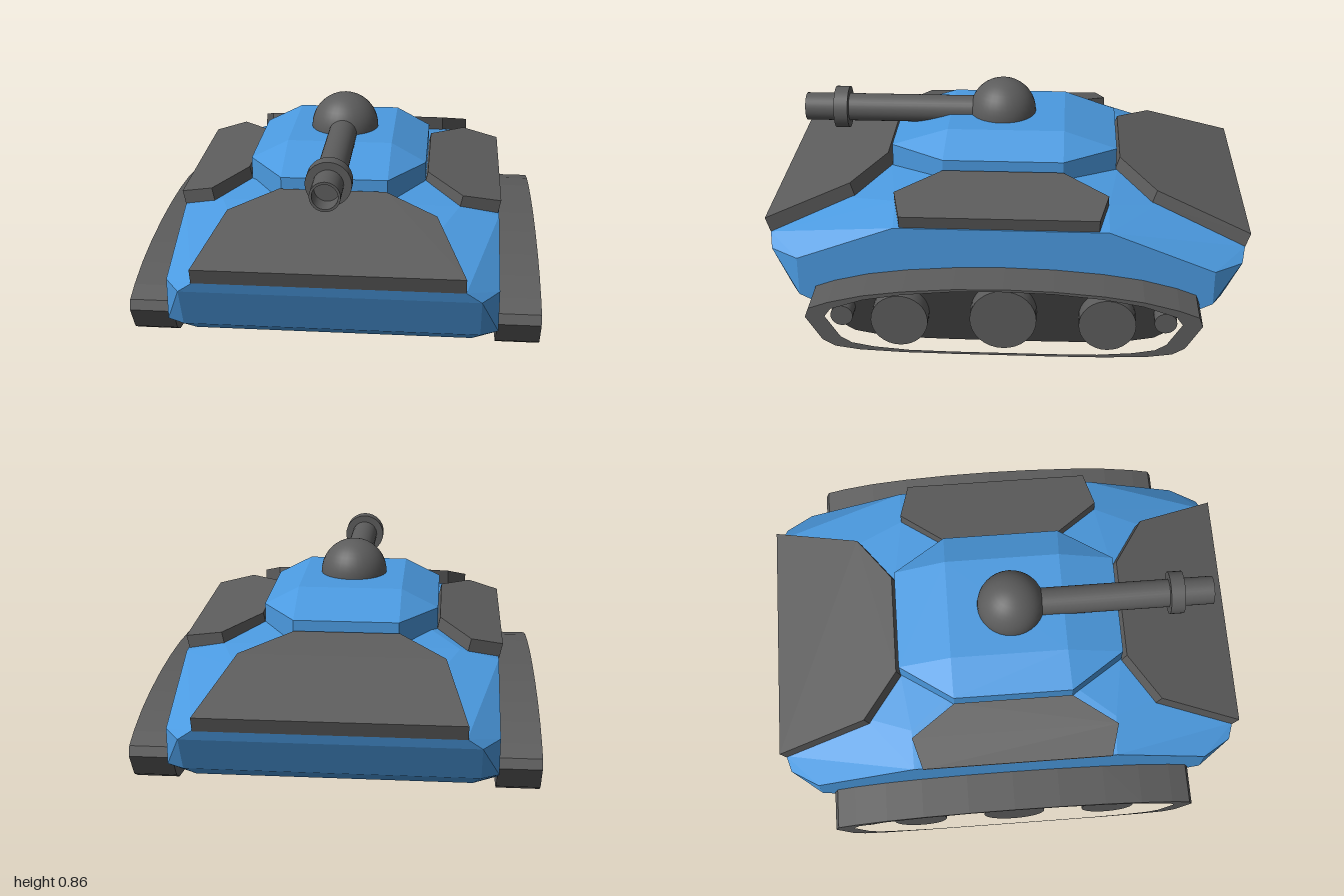
import * as THREE from 'three';
import { ConvexGeometry } from 'three/addons/geometries/ConvexGeometry.js';

const blue = new THREE.MeshStandardMaterial({ color: 0x4b9ae0 });
const grey = new THREE.MeshStandardMaterial({ color: 0x5c5c5c });
const dark = new THREE.MeshStandardMaterial({ color: 0x3a3a3a });

const v = (x, y, z) => new THREE.Vector3(x, y, z);

function add(parent, name, geometry, material) {
  const mesh = new THREE.Mesh(geometry, material);
  mesh.name = name;
  parent.add(mesh);
  return mesh;
}

// Faceted solid through a set of corner points
const solid = (points) => new ConvexGeometry(points.map((p) => v(...p)));

// Flat armour plate: a top outline pushed down by an offset
const plate = (top, offset) =>
  solid([...top, ...top.map((p) => p.map((c, i) => c + offset[i]))]);

// Each point repeated on the left and right
const mirrorX = (points) => points.flatMap(([x, y, z]) => [[x, y, z], [-x, y, z]]);

// Side profile (z, y) extruded across x, centred on x = 0
function extrudeAcross(shape, width) {
  const g = new THREE.ExtrudeGeometry(shape, { depth: width, bevelEnabled: false, curveSegments: 8 });
  g.translate(0, 0, -width / 2);
  g.rotateY(-Math.PI / 2);
  return g;
}

// Closed track outline, mirrored front to back; points run from the rear end along the top, then the bottom
function trackLoop(top, bottom) {
  const both = (half) => [...half, ...half.filter(([z]) => z !== 0).reverse().map(([z, y]) => [-z, y])];
  const upper = both(top);
  const lower = both(bottom).reverse();
  return [...upper, ...lower].map(([z, y]) => new THREE.Vector2(z, y));
}

function createTrack(side) {
  const group = new THREE.Group();
  group.name = side > 0 ? 'leftTrack' : 'rightTrack';

  const outer = trackLoop(
    [[-0.795, 0.16], [-0.78, 0.2], [-0.7, 0.23], [-0.56, 0.265], [-0.4, 0.288], [-0.2, 0.304], [0, 0.309]],
    [[-0.73, 0.055], [-0.68, 0.025], [-0.58, 0.01], [-0.4, 0.002], [-0.2, 0]]);
  const inner = trackLoop(
    [[-0.715, 0.165], [-0.69, 0.2], [-0.56, 0.245], [-0.4, 0.274], [-0.2, 0.293], [0, 0.298]],
    [[-0.655, 0.07], [-0.61, 0.043], [-0.52, 0.026], [-0.38, 0.014], [-0.2, 0.011]]);

  // Belt
  const belt = new THREE.Shape(outer);
  belt.holes.push(new THREE.Path(inner));
  add(group, 'trackBelt', extrudeAcross(belt, 0.175), grey).position.x = side * 0.7325;

  // Recessed wall behind the wheels
  add(group, 'trackWall', extrudeAcross(new THREE.Shape(inner), 0.08), dark).position.x = side * 0.69;

  // Road wheels and small end wheels: z, y, radius
  const wheels = [[0, 0.155, 0.134], [0.418, 0.14, 0.115], [-0.418, 0.14, 0.115],
    [0.65, 0.157, 0.045], [-0.65, 0.157, 0.045]];
  for (const [z, y, r] of wheels) {
    const g = new THREE.CylinderGeometry(r, r, 0.1, 32).rotateZ(Math.PI / 2);
    add(group, 'wheel', g, grey).position.set(side * 0.75, y, z);
  }
  return group;
}

export function createModel() {
  const model = new THREE.Group();
  model.name = 'tank';

  // Hull: belly, lower bevel, corner chamfers, sloping deck
  add(model, 'hull', solid(mirrorX([
    [0.55, 0.093, 0.79], [0.65, 0.093, 0.72], [0.55, 0.093, -0.79], [0.65, 0.093, -0.72],
    [0.58, 0.16, 0.89], [0.65, 0.16, 0.85], [0.58, 0.16, -0.89], [0.65, 0.16, -0.85],
    [0.52, 0.38, 0.98], [0.58, 0.335, 0.966], [0.65, 0.33, 0.85],
    [0.52, 0.36, -0.98], [0.58, 0.315, -0.966], [0.65, 0.31, -0.85],
    [0.65, 0.48, 0.45], [0.65, 0.48, -0.42],
    [0.49, 0.52, 0.46], [0.49, 0.52, -0.42],
    [0.41, 0.49, 0.66], [0.41, 0.487, -0.62],
    [0.2, 0.54, 0.51], [0.2, 0.54, -0.46], [0.34, 0.558, 0.27], [0.34, 0.558, -0.23],
  ])), blue);

  // Turret: eight-sided band with a bevelled roof
  const footprint = [[-0.24, 0.505], [0.195, 0.505], [0.343, 0.275], [0.343, -0.23],
    [0.195, -0.455], [-0.24, -0.455], [-0.395, -0.23], [-0.395, 0.275]];
  add(model, 'turret', solid([
    ...footprint.map(([x, z]) => [x, 0.52, z]),
    ...footprint.map(([x, z]) => [x, 0.638, z]),
    [-0.24, 0.716, 0.265], [0.197, 0.716, 0.265], [0.197, 0.716, -0.23], [-0.24, 0.716, -0.23],
  ]), blue);

  // Front and rear sloping armour
  add(model, 'frontPlate', plate([
    [-0.525, 0.443, 1], [0.52, 0.443, 1], [0.4, 0.553, 0.66],
    [0.19, 0.597, 0.525], [-0.245, 0.597, 0.525], [-0.435, 0.553, 0.66],
  ], [0, -0.064, -0.02]), grey);
  add(model, 'rearPlate', plate([
    [-0.525, 0.419, -1], [0.52, 0.419, -1], [0.4, 0.547, -0.62],
    [0.19, 0.597, -0.47], [-0.245, 0.597, -0.47], [-0.435, 0.547, -0.62],
  ], [0, -0.062, 0.02]), grey);

  // Side armour
  for (const side of [1, -1]) {
    const [inX, midX, outX] = side > 0 ? [0.352, 0.5, 0.657] : [-0.405, -0.535, -0.666];
    const midY = 0.596 - 0.061 * (midX - inX) / (outX - inX);
    add(model, side > 0 ? 'leftPlate' : 'rightPlate', plate([
      [inX, 0.596, 0.275], [midX, midY, 0.462], [outX, 0.535, 0.425],
      [outX, 0.535, -0.38], [midX, midY, -0.418], [inX, 0.596, -0.23],
    ], [-side * 0.013, -0.062, 0]), grey);
    model.add(createTrack(side));
  }

  // Gun: dome, barrel with hollow muzzle, collar
  const gun = new THREE.Group();
  gun.name = 'gun';
  gun.position.set(-0.018, 0.718, 0.04);
  model.add(gun);
  add(gun, 'gunDome', new THREE.SphereGeometry(0.144, 32, 20), grey);
  const profile = [[0.06, 0], [0.06, 0.865], [0.06, 0.865], [0.05, 0.865], [0.05, 0.865],
    [0.05, 0.78], [0.05, 0.78], [0, 0.78]].map(([r, z]) => new THREE.Vector2(r, z));
  const barrel = new THREE.LatheGeometry(profile, 32).rotateX(Math.PI / 2);
  add(gun, 'barrel', barrel, new THREE.MeshStandardMaterial({ color: 0x5c5c5c, side: THREE.DoubleSide }));
  const collar = new THREE.CylinderGeometry(0.091, 0.091, 0.06, 32).rotateX(Math.PI / 2);
  add(gun, 'barrelCollar', collar, grey).position.z = 0.705;

  return model;
}
